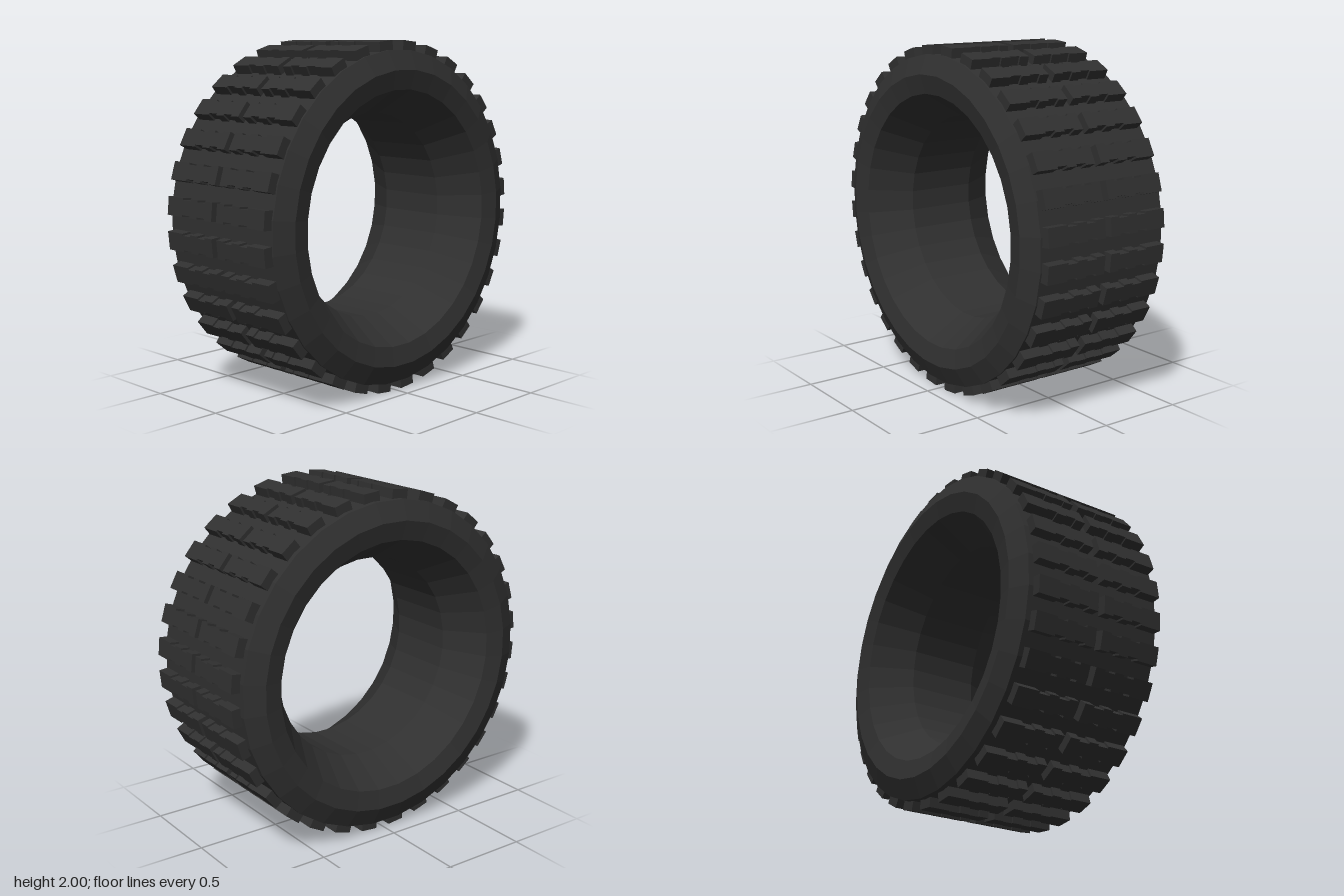
import * as THREE from 'three';

const SIDES = 32;
const rubber = new THREE.MeshStandardMaterial({ color: 0x303030, flatShading: true });

// Hollow carcass: one closed profile (radius, width) turned about the axle
function makeCarcass() {
  const half = [[0.95, 0.42], [0.84, 0.47], [0.73, 0.445], [0.59, 0.21]];
  const mirrored = half.map(([r, w]) => [r, -w]).reverse();
  const profile = [...half, ...mirrored, half[0]].map(([r, w]) => new THREE.Vector2(r, w));
  const geometry = new THREE.LatheGeometry(profile, SIDES, Math.PI / SIDES);
  geometry.rotateX(Math.PI / 2);
  const mesh = new THREE.Mesh(geometry, rubber);
  mesh.name = 'carcass';
  return mesh;
}

// Tread lug with notched flanks, extruded outwards along the radius
function makeLugGeometry() {
  const wide = 0.052, narrow = 0.041;
  const flank = [
    [wide, 0.02], [wide, 0.08], [narrow, 0.08], [narrow, 0.145], [wide, 0.145],
    [wide, 0.205], [narrow, 0.205], [narrow, 0.27], [wide, 0.27], [wide, 0.4],
  ];
  const outline = [...flank, ...flank.map(([x, y]) => [-x, y]).reverse()];
  const shape = new THREE.Shape(outline.map(([x, y]) => new THREE.Vector2(x, y)));
  const geometry = new THREE.ExtrudeGeometry(shape, { depth: 0.08, bevelEnabled: false });
  geometry.rotateX(-Math.PI / 2);
  geometry.translate(0, 0.92, 0);
  return geometry;
}

export function createModel() {
  const tyre = new THREE.Group();
  tyre.name = 'tyre';
  tyre.add(makeCarcass());

  // Two mirrored rows of lugs with a narrow centre groove
  const backLug = makeLugGeometry();
  const frontLug = backLug.clone().rotateY(Math.PI);
  for (const [name, geometry] of [['frontTread', frontLug], ['backTread', backLug]]) {
    const row = new THREE.Group();
    row.name = name;
    row.position.z = 0.01;
    for (let i = 0; i < SIDES; i++) {
      const lug = new THREE.Mesh(geometry, rubber);
      lug.name = 'treadLug';
      lug.rotation.z = ((i + 0.5) / SIDES) * Math.PI * 2;
      row.add(lug);
    }
    tyre.add(row);
  }

  tyre.position.y = 1;
  const model = new THREE.Group();
  model.name = 'wheelTyre';
  model.add(tyre);
  return model;
}
